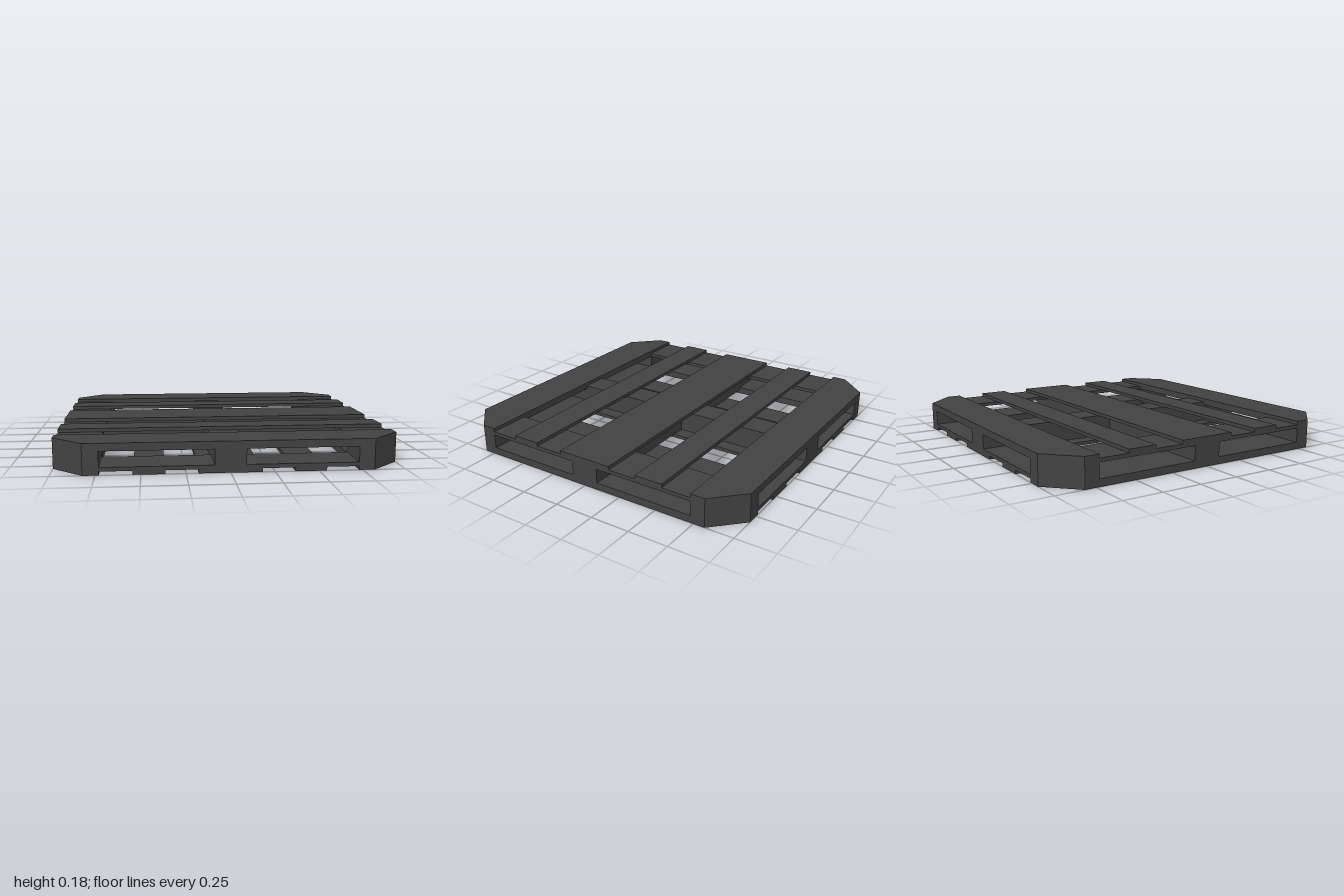
import * as THREE from 'three';

const H = 0.18;      // total height
const SLAT = 0.022;  // board thickness
const SILL = 0.045;  // bottom of the fork openings
const CUT = 0.82;    // where the corner chamfers start
const IN = 0.73;     // inner edge of the outer frame
const BEAM = 0.09;   // half width of the central beams

const material = new THREE.MeshStandardMaterial({ color: 0x424242, flatShading: true });

const polygon = (points) => new THREE.Shape(points.map(([x, y]) => new THREE.Vector2(x, y)));
const rect = (x0, x1, y0, y1) => polygon([[x0, y0], [x1, y0], [x1, y1], [x0, y1]]);

// Flat outline raised from y0 to y1
function slab(name, shape, y0, y1) {
  const geometry = new THREE.ExtrudeGeometry(shape, { depth: y1 - y0, bevelEnabled: false });
  geometry.rotateX(-Math.PI / 2);
  geometry.translate(0, y0, 0);
  const mesh = new THREE.Mesh(geometry, material);
  mesh.name = name;
  return mesh;
}

// Five parallel boards running along x, the outer two with chamfered corners
function boards(name, y0) {
  const group = new THREE.Group();
  group.name = name;
  group.add(slab('centreBoard', rect(-1, 1, -0.18, 0.18), y0, y0 + SLAT));
  const end = polygon([[-1, IN], [1, IN], [1, CUT], [CUT, 1], [-CUT, 1], [-1, CUT]]);
  for (const turn of [0, Math.PI]) {
    const middle = slab('middleBoard', rect(-1, 1, 0.365, 0.545), y0, y0 + SLAT);
    const outer = slab('endBoard', end, y0, y0 + SLAT);
    middle.rotation.y = outer.rotation.y = turn;
    group.add(middle, outer);
  }
  return group;
}

// Chamfered frame with a cross of rails, open in the four quadrants
function railFrame(name, y0, y1) {
  const shape = polygon([[-CUT, -1], [CUT, -1], [1, -CUT], [1, CUT], [CUT, 1], [-CUT, 1], [-1, CUT], [-1, -CUT]]);
  for (const [x0, x1] of [[-IN, -BEAM], [BEAM, IN]]) {
    for (const [z0, z1] of [[-IN, -BEAM], [BEAM, IN]]) {
      shape.holes.push(rect(x0, x1, z0, z1));
    }
  }
  return slab(name, shape, y0, y1);
}

export function createModel() {
  const pallet = new THREE.Group();
  pallet.name = 'pallet';

  // Top boards run across, bottom boards run front to back
  const bottom = boards('bottomBoards', 0);
  bottom.rotation.y = Math.PI / 2;
  pallet.add(boards('topBoards', H - SLAT), bottom);

  // Rails below and above the fork openings
  pallet.add(railFrame('lowerRails', SLAT, SILL), railFrame('upperRails', H - SILL, H - SLAT));

  // Solid central cross between the openings
  const b = BEAM;
  const cross = polygon([[-b, -1], [b, -1], [b, -b], [1, -b], [1, b], [b, b],
    [b, 1], [-b, 1], [-b, b], [-1, b], [-1, -b], [-b, -b]]);
  pallet.add(slab('centralCross', cross, SILL, H - SILL));

  // Chamfered corner posts
  const corner = polygon([[IN, IN], [1, IN], [1, CUT], [CUT, 1], [IN, 1]]);
  for (let i = 0; i < 4; i++) {
    const post = slab('cornerPost', corner, SILL, H - SILL);
    post.rotation.y = i * Math.PI / 2;
    pallet.add(post);
  }
  return pallet;
}
